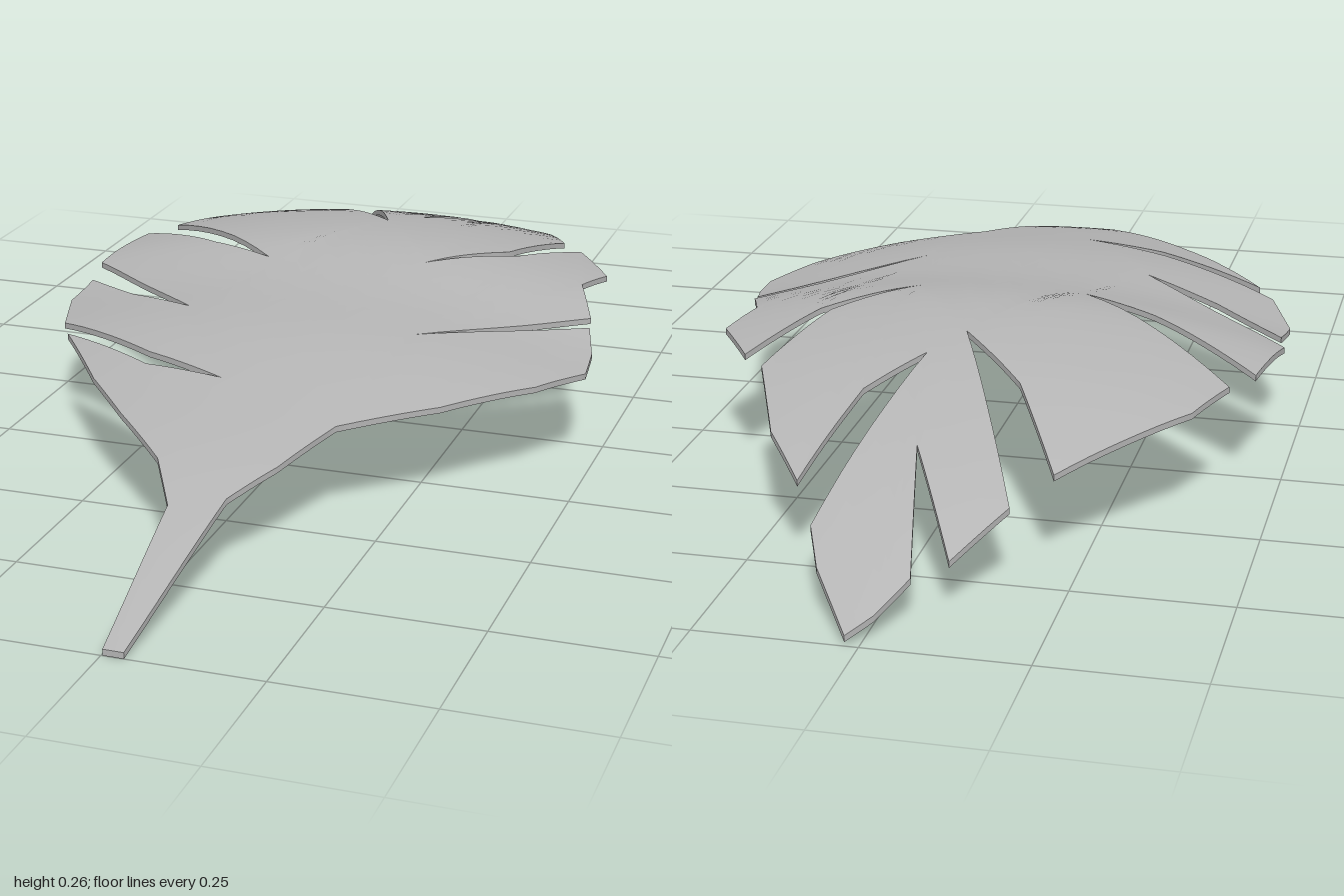
import * as THREE from 'three';
import { toCreasedNormals } from 'three/addons/utils/BufferGeometryUtils.js';

const THICKNESS = 0.01;

// Leaf outline seen from above, [x, z], from the stalk up the right-hand lobes, over the tip and back
const OUTLINE = [
  [0, 1], [-0.013, 0.716], [-0.07, 0.615], [-0.18, 0.5], [-0.275, 0.39], [-0.4, 0.215],
  [-0.2, 0.345], [-0.055, 0.378], [-0.21, 0.305], [-0.43, 0.16], [-0.478, 0.025], [-0.473, -0.06],
  [-0.35, 0.04], [-0.212, 0.12], [-0.488, -0.135], [-0.463, -0.305],
  [-0.275, -0.17], [-0.145, -0.1], [-0.43, -0.37], [-0.388, -0.475], [-0.215, -0.685],
  [-0.12, -0.495], [0, -0.355], [-0.165, -0.76], [-0.1, -0.865],
  [0, -0.665], [-0.052, -0.9], [-0.015, -0.965], [0.018, -1], [0.09, -0.895], [0.12, -0.825],
  [0.045, -0.435], [0.12, -0.54], [0.165, -0.745], [0.24, -0.64], [0.312, -0.465], [0.255, -0.27],
  [0.135, -0.135], [0.275, -0.26], [0.355, -0.42], [0.43, -0.3], [0.405, -0.21], [0.447, -0.1],
  [0.2, 0.14], [0.452, -0.07], [0.475, 0.01], [0.483, 0.09], [0.425, 0.2], [0.305, 0.345],
  [0.17, 0.465], [0.12, 0.595], [0.07, 0.685], [0.033, 1],
];

// Height of the midrib along the leaf, [z, y]
const MIDRIB = [
  [-1, 0.018], [-0.75, 0.143], [-0.6, 0.2], [-0.42, 0.247], [-0.2, 0.266],
  [0, 0.238], [0.2, 0.226], [0.4, 0.193], [0.65, 0.137], [1, 0.012],
];

// Smooth interpolation through the midrib points
function midribHeight(z) {
  const n = MIDRIB.length;
  let i = 0;
  while (i < n - 2 && z > MIDRIB[i + 1][0]) i++;
  const slope = (k) => {
    const a = MIDRIB[Math.max(k - 1, 0)], b = MIDRIB[Math.min(k + 1, n - 1)];
    return (b[1] - a[1]) / (b[0] - a[0]);
  };
  const [z0, y0] = MIDRIB[i], [z1, y1] = MIDRIB[i + 1];
  const h = z1 - z0, t = THREE.MathUtils.clamp((z - z0) / h, 0, 1), t2 = t * t, t3 = t2 * t;
  return (2 * t3 - 3 * t2 + 1) * y0 + (t3 - 2 * t2 + t) * h * slope(i)
    + (3 * t2 - 2 * t3) * y1 + (t3 - t2) * h * slope(i + 1);
}

// Split every triangle into four at its edge midpoints
function subdivide(triangles) {
  const result = [];
  for (const [a, b, c] of triangles) {
    const ab = a.clone().lerp(b, 0.5), bc = b.clone().lerp(c, 0.5), ca = c.clone().lerp(a, 0.5);
    result.push([a, ab, ca], [ab, b, bc], [ca, bc, c], [ab, bc, ca]);
  }
  return result;
}

// Flat extruded blade, refined and then arched along and across its length
function bladeGeometry() {
  const shape = new THREE.Shape(OUTLINE.map(([x, z]) => new THREE.Vector2(x, -z)));
  const flat = new THREE.ExtrudeGeometry(shape, { depth: THICKNESS, bevelEnabled: false });
  flat.rotateX(-Math.PI / 2);
  const source = flat.index ? flat.toNonIndexed() : flat;
  const pos = source.attributes.position;
  let triangles = [];
  for (let i = 0; i < pos.count; i += 3) {
    triangles.push([0, 1, 2].map((k) => new THREE.Vector3().fromBufferAttribute(pos, i + k)));
  }
  for (let i = 0; i < 3; i++) triangles = subdivide(triangles);

  const points = triangles.flat().map((p) => new THREE.Vector3(
    p.x, p.y - THICKNESS + midribHeight(p.z) - 0.29 * p.x * p.x, p.z));
  const geometry = new THREE.BufferGeometry().setFromPoints(points);
  return toCreasedNormals(geometry, 0.6);
}

export function createModel() {
  const leafGrey = new THREE.MeshStandardMaterial({ color: 0xb4b4b4 });
  leafGrey.name = 'leafGrey';

  const blade = new THREE.Mesh(bladeGeometry(), leafGrey);
  blade.name = 'leafBlade';

  const model = new THREE.Group();
  model.name = 'leaf';
  model.add(blade);

  // Stand on the ground, centred
  const box = new THREE.Box3().setFromObject(blade);
  const centre = box.getCenter(new THREE.Vector3());
  blade.position.set(-centre.x, -box.min.y, -centre.z);
  return model;
}
